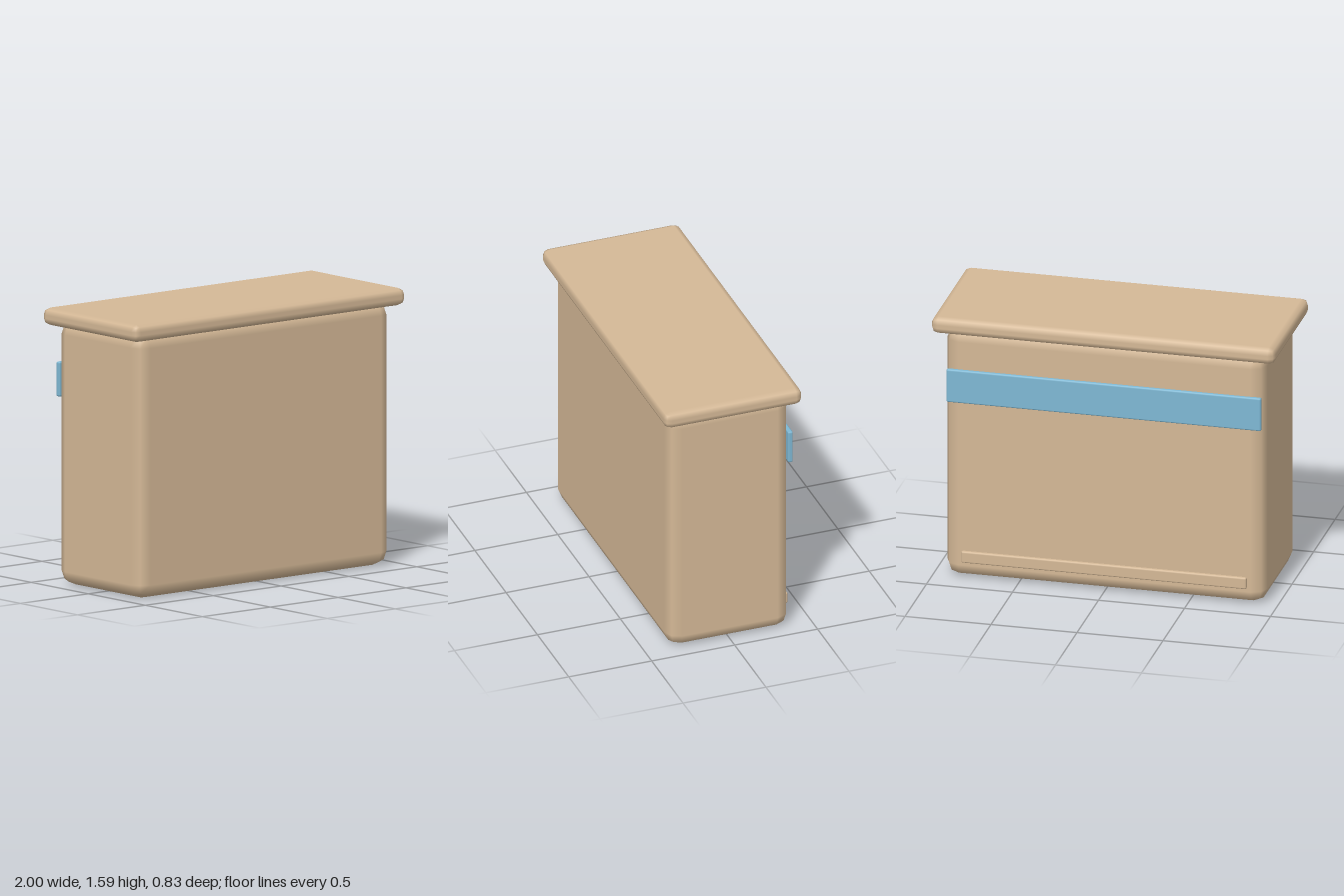
import * as THREE from 'three';
import { RoundedBoxGeometry } from 'three/addons/geometries/RoundedBoxGeometry.js';

const tan = new THREE.MeshStandardMaterial({ color: 0xd4b896 });
tan.name = 'tan';
const blue = new THREE.MeshStandardMaterial({ color: 0x7eb8d4 });
blue.name = 'blue';

// Rounded block given by its size, the height of its base and its z centre
function block(name, [w, h, d], base, z, segments, radius, material) {
  const mesh = new THREE.Mesh(new RoundedBoxGeometry(w, h, d, segments, radius), material);
  mesh.name = name;
  mesh.position.set(0, base + h / 2, z);
  return mesh;
}

export function createModel() {
  const model = new THREE.Group();
  model.name = 'counter';

  // Cabinet with softly bevelled edges; its top is sunk into the slab
  model.add(block('body', [1.86, 1.515, 0.735], 0, 0, 1, 0.08, tan));

  // Overhanging top slab
  model.add(block('countertop', [2, 0.1, 0.83], 1.485, 0, 1, 0.04, tan));

  // Raised bands on the back
  model.add(block('accentBand', [1.83, 0.2, 0.03], 1.07, -0.371, 1, 0.01, blue));
  model.add(block('footRail', [1.66, 0.07, 0.03], 0.1, -0.371, 1, 0.01, tan));

  return model;
}
